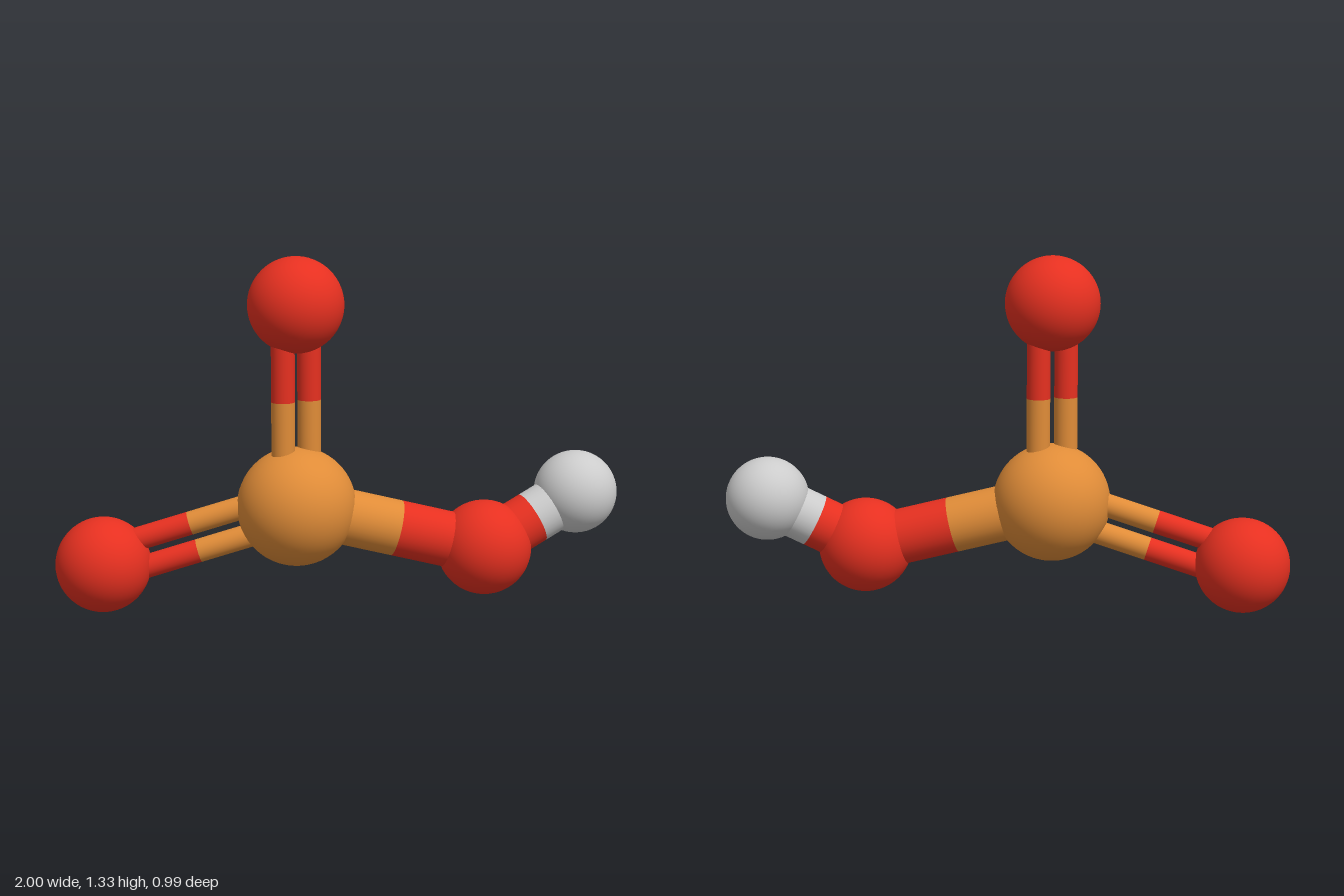
import * as THREE from 'three';

const ORANGE = 0xe08c38, RED = 0xe63020, GREY = 0xcccccc;

export function createModel() {
  const model = new THREE.Group();
  model.name = 'ballAndStickMolecule';

  const materials = {};
  for (const color of [ORANGE, RED, GREY]) {
    materials[color] = new THREE.MeshStandardMaterial({ color });
  }

  // Atoms: smooth spheres
  function atom(name, x, y, z, radius, color) {
    const mesh = new THREE.Mesh(new THREE.SphereGeometry(radius, 48, 32), materials[color]);
    mesh.name = name;
    mesh.position.set(x, y, z);
    model.add(mesh);
    return { position: mesh.position, radius, color };
  }

  // Straight rod between two points
  function rod(name, from, to, radius, color, parent) {
    const axis = to.clone().sub(from);
    const mesh = new THREE.Mesh(
      new THREE.CylinderGeometry(radius, radius, axis.length(), 32), materials[color]);
    mesh.name = name;
    mesh.position.copy(from).add(to).multiplyScalar(0.5);
    mesh.quaternion.setFromUnitVectors(new THREE.Vector3(0, 1, 0), axis.normalize());
    parent.add(mesh);
  }

  // Two-coloured bond, changing colour midway between the atom surfaces.
  // With a spread direction it becomes a pair of thin parallel rods.
  function bond(name, a, b, radius, spread) {
    const group = new THREE.Group();
    group.name = name;
    model.add(group);
    const axis = b.position.clone().sub(a.position);
    const length = axis.length();
    axis.normalize();
    const middle = a.position.clone().addScaledVector(axis, (length + a.radius - b.radius) / 2);

    const offsets = [new THREE.Vector3()];
    if (spread) {
      const side = spread.clone().addScaledVector(axis, -spread.dot(axis)).setLength(0.055);
      offsets[0] = side;
      offsets.push(side.clone().negate());
    }
    for (const offset of offsets) {
      const [start, mid, end] = [a.position, middle, b.position].map(p => p.clone().add(offset));
      rod('innerHalf', start, mid, radius, a.color, group);
      rod('outerHalf', mid, end, radius, b.color, group);
    }
  }

  const centre = atom('centreAtom', -0.13, 0.396, 0.115, 0.222, ORANGE);
  const top = atom('topAtom', -0.13, 1.15, 0.118, 0.178, RED);
  const right = atom('rightAtom', -0.822, 0.178, 0.318, 0.178, RED);
  const left = atom('leftAtom', 0.53, 0.22, -0.142, 0.178, RED);
  const end = atom('endAtom', 0.842, 0.41, -0.338, 0.157, GREY);

  bond('topDoubleBond', centre, top, 0.044, new THREE.Vector3(1, 0, -1));
  bond('rightDoubleBond', centre, right, 0.044, new THREE.Vector3(0, 1, 0));
  bond('leftBond', centre, left, 0.105);
  bond('endBond', left, end, 0.1);

  return model;
}
